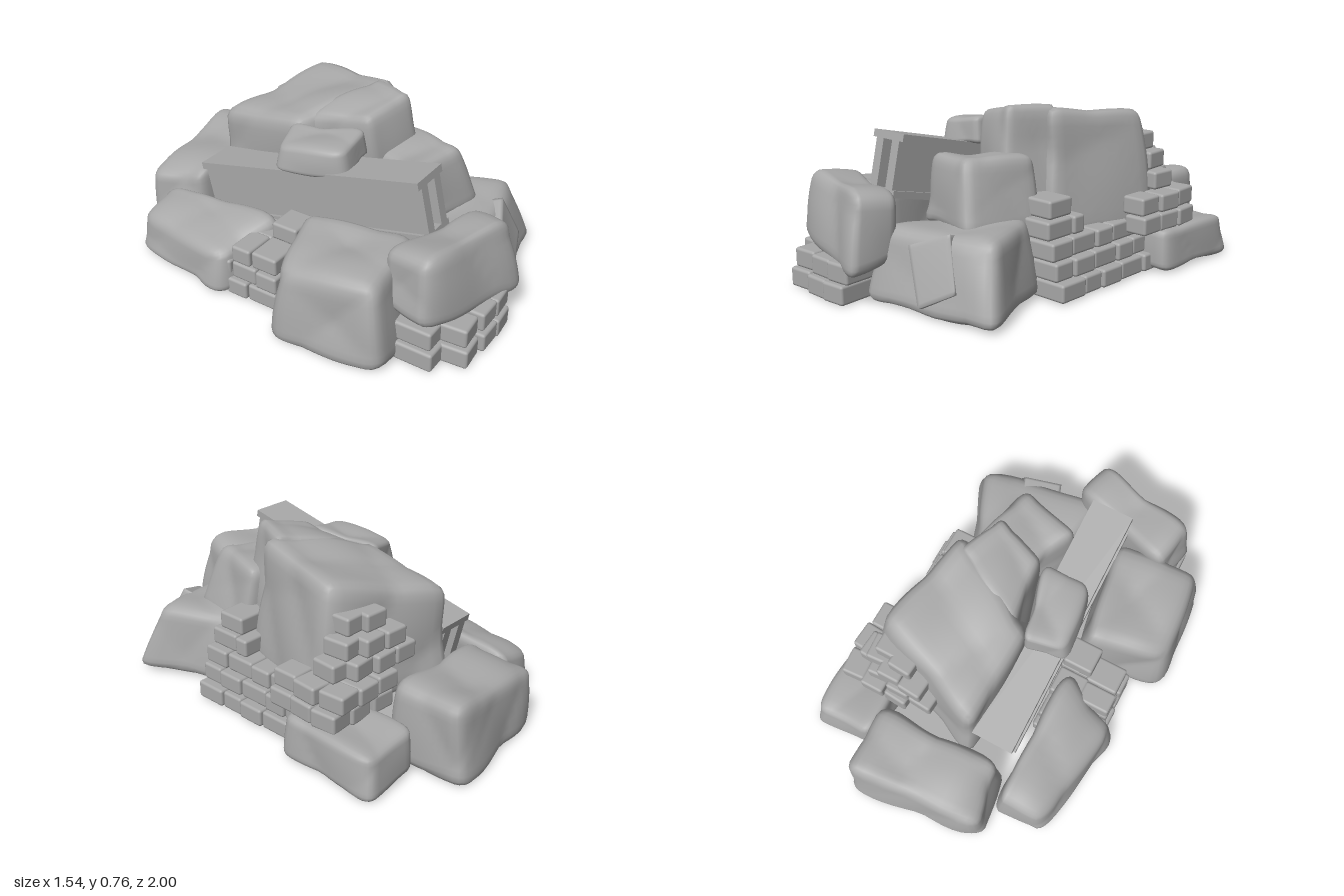
import * as THREE from 'three';
import { mergeVertices } from 'three/addons/utils/BufferGeometryUtils.js';
import { RoundedBoxGeometry } from 'three/addons/geometries/RoundedBoxGeometry.js';

const stone = new THREE.MeshStandardMaterial({ color: 0xa8a8a8 });
stone.name = 'grey stone';
const YAW = 0.4; // the whole ruin is turned by this angle

// Rounded, slightly chiselled block stretched between eight corners.
// Corner order: back left, back right, front right, front left.
function boulder(name, bottom, top, round = 0.27, rough = 0.013) {
  const box = new THREE.BoxGeometry(2, 2, 2, 14, 14, 14);
  box.deleteAttribute('uv');
  box.deleteAttribute('normal');
  const geo = mergeVertices(box);
  const pos = geo.attributes.position;
  const corners = [...bottom, ...top].map((c) => new THREE.Vector3(...c));
  const centre = corners.reduce((s, c) => s.add(c), new THREE.Vector3()).divideScalar(8);
  if (rough) corners.forEach((c) => c.sub(centre).multiplyScalar(1.06).add(centre));
  const p = new THREE.Vector3(), core = new THREE.Vector3(), out = new THREE.Vector3();
  const limit = 1 - round;
  for (let i = 0; i < pos.count; i++) {
    p.fromBufferAttribute(pos, i);
    core.copy(p).clampScalar(-limit, limit);
    p.sub(core).normalize().multiplyScalar(round).add(core);
    const u = (p.x + 1) / 2, v = (p.y + 1) / 2, w = (p.z + 1) / 2;
    const weights = [(1 - u) * (1 - w), u * (1 - w), u * w, (1 - u) * w];
    out.set(0, 0, 0);
    weights.forEach((k, j) => {
      out.addScaledVector(corners[j], k * (1 - v));
      out.addScaledVector(corners[j + 4], k * v);
    });
    // broad dents and ridges
    const n = Math.abs(Math.sin(out.x * 9 + out.y * 6)) + Math.abs(Math.sin(out.z * 10 - out.y * 7 + 1))
      + Math.sin(out.x * 13 - out.z * 11) * 0.6 - 1.2;
    out.addScaledVector(p.normalize(), n * rough);
    pos.setXYZ(i, out.x, Math.max(out.y, 0.012), out.z);
  }
  geo.computeVertexNormals();
  const mesh = new THREE.Mesh(geo, stone);
  mesh.name = name;
  return mesh;
}

function brick(parent, x, y, z, w, h, d, turn = 0) {
  const mesh = new THREE.Mesh(new RoundedBoxGeometry(w, h, d, 2, 0.012), stone);
  mesh.name = 'brick';
  mesh.position.set(x, y, z);
  mesh.rotation.y = turn;
  parent.add(mesh);
}

// Courses of bricks running along local z; each row is [start, end]
function wall(name, x, z, rows, depth, lean) {
  const g = new THREE.Group();
  g.name = name;
  g.position.set(x, 0, z);
  g.rotation.y = YAW;
  rows.forEach(([start, end], row) => {
    let at = start, k = row;
    while (at - end > 0.03) {
      let len = [0.15, 0.11, 0.13][k++ % 3];
      if (at - len - end < 0.05) len = at - end;
      brick(g, -depth / 2 - lean * row + (k % 2) * 0.008, 0.055 + row * 0.079, at - len / 2,
        depth, 0.078, len - 0.004);
      at -= len;
    }
  });
  return g;
}

export function createModel() {
  const model = new THREE.Group();
  model.name = 'rubblePile';

  // Ground boulders
  model.add(
    boulder('backLeftBoulder',
      [[-0.62, 0.01, -0.69], [-0.08, 0.01, -1.02], [0.06, 0.01, -0.68], [-0.46, 0.01, -0.43]],
      [[-0.59, 0.25, -0.69], [-0.09, 0.34, -0.96], [0.03, 0.34, -0.7], [-0.45, 0.31, -0.46]]),
    boulder('backRightBoulder',
      [[0.03, 0.02, -0.81], [0.28, 0.02, -0.94], [0.45, 0.02, -0.51], [0.2, 0.02, -0.4]],
      [[0.04, 0.2, -0.8], [0.27, 0.19, -0.91], [0.43, 0.2, -0.52], [0.2, 0.21, -0.42]]),
    boulder('leftBoulder',
      [[-0.78, 0.02, -0.44], [-0.56, 0.02, -0.56], [-0.31, 0.02, 0.06], [-0.67, 0.02, 0.06]],
      [[-0.74, 0.18, -0.42], [-0.56, 0.26, -0.53], [-0.34, 0.3, 0.04], [-0.64, 0.21, 0.04]], 0.33),
    boulder('frontRightBoulder',
      [[0.08, 0.02, 0.28], [0.43, 0.02, 0.08], [0.8, 0.02, 0.44], [0.23, 0.02, 0.76]],
      [[0.12, 0.3, 0.28], [0.42, 0.33, 0.13], [0.67, 0.33, 0.39], [0.22, 0.3, 0.69]]),
    boulder('frontLeftBoulder',
      [[-0.59, 0.01, 0.43], [-0.27, 0.01, 0.17], [0.02, 0.01, 0.62], [-0.38, 0.01, 0.86]],
      [[-0.55, 0.32, 0.43], [-0.28, 0.39, 0.21], [-0.04, 0.4, 0.6], [-0.36, 0.37, 0.78]]),
  );

  // Stacked boulders
  model.add(
    boulder('tallBoulder',
      [[-0.3, 0.16, -0.5], [0.29, 0.2, -0.54], [0.37, 0.2, 0], [-0.11, 0.16, 0.08]],
      [[-0.29, 0.57, -0.46], [0.23, 0.695, -0.48], [0.31, 0.745, -0.02], [-0.16, 0.66, -0.07]], 0.2),
    boulder('peakBoulder',
      [[-0.13, 0.3, -0.1], [0.33, 0.3, -0.08], [0.32, 0.34, 0.19], [0.06, 0.34, 0.23]],
      [[-0.1, 0.66, -0.08], [0.27, 0.755, -0.06], [0.26, 0.76, 0.15], [0.04, 0.71, 0.17]], 0.22),
    boulder('shoulderBoulder',
      [[0.08, 0.27, 0.12], [0.4, 0.27, 0.06], [0.48, 0.3, 0.42], [0.07, 0.27, 0.46]],
      [[0.1, 0.52, 0.13], [0.34, 0.57, 0.07], [0.36, 0.58, 0.38], [0.1, 0.56, 0.41]]),
    boulder('frontTopBoulder',
      [[-0.24, 0.22, 0.68], [0.27, 0.17, 0.64], [0.34, 0.14, 0.85], [-0.2, 0.2, 0.92]],
      [[-0.2, 0.44, 0.67], [0.26, 0.43, 0.64], [0.27, 0.465, 0.8], [-0.17, 0.475, 0.87]], 0.33),
    boulder('smallTopBoulder',
      [[-0.33, 0.52, 0.03], [-0.17, 0.54, -0.09], [0.04, 0.56, 0.19], [-0.16, 0.55, 0.29]],
      [[-0.3, 0.62, 0.03], [-0.17, 0.66, -0.08], [0.01, 0.69, 0.18], [-0.16, 0.65, 0.26]], 0.33),
  );

  // Flat slab leaning on the front right boulder
  const face = [[0.52, 0.055, 0.635], [0.635, 0.135, 0.525], [0.53, 0.34, 0.505], [0.415, 0.28, 0.635]];
  const [a, b, c, d] = face;
  const inner = face.map(([x, y, z]) => [x - 0.09, y - 0.045, z - 0.1]);
  model.add(boulder('leaningSlab', [inner[0], inner[1], b, a], [inner[3], inner[2], c, d], 0.03, 0));

  // Broken girder resting on the pile
  const beam = new THREE.Group();
  beam.name = 'girder';
  beam.position.set(-0.175, 0.528, 0.08);
  beam.rotation.set(-0.226, YAW, 0, 'YXZ');
  const length = 1.136;
  const bar = (name, x, y, w, h) => {
    const mesh = new THREE.Mesh(new THREE.BoxGeometry(w, h, length), stone);
    mesh.name = name;
    mesh.position.set(x, y, 0);
    beam.add(mesh);
  };
  bar('topFlange', 0, -0.016, 0.19, 0.032);
  bar('bottomFlange', 0, -0.25, 0.17, 0.03);
  for (const side of [-1, 1]) bar('web', side * 0.05, -0.13, 0.045, 0.22);
  model.add(beam);

  // Brick walls
  model.add(
    wall('rightWall', 0.6, 0.06, [[0.01, -0.66], [0.01, -0.62], [0.01, -0.55], [0, -0.22], [-0.03, -0.17]], 0.19, 0.027),
    wall('leftWallOuter', -0.37, 0.24, [[0, -0.36], [0, -0.32], [-0.01, -0.24]], 0.15, -0.01),
    wall('leftWallInner', -0.23, 0.18, [[0, -0.4], [0, -0.36], [0, -0.26], [0, -0.13]], 0.14, 0),
  );

  // Loose bricks at the front
  const front = new THREE.Group();
  front.name = 'frontBricks';
  [[-0.17, 0.84], [-0.05, 0.9], [0.08, 0.86], [0.18, 0.82]].forEach(([x, z], i) => {
    for (let row = 0; row < 2; row++)
      brick(front, x + row * 0.008, 0.052 + row * 0.085, z - row * 0.02, 0.12, 0.083, 0.17, YAW + (i % 2) * 0.08);
  });
  model.add(front);

  // Stepped bricks behind the tall boulder: [x, z] for each course
  const steps = new THREE.Group();
  steps.name = 'backBricks';
  [
    [[0.08, -0.58], [0.2, -0.62], [0.3, -0.65], [0.34, -0.54], [0.38, -0.43]],
    [[0.06, -0.58], [0.17, -0.63], [0.27, -0.66], [0.33, -0.55], [0.36, -0.43]],
    [[-0.05, -0.52], [0.06, -0.56], [0.17, -0.58], [0.25, -0.56]],
    [[0, -0.53], [0.11, -0.56], [0.2, -0.55]],
    [[0.08, -0.51], [0.17, -0.51]],
  ].forEach((course, row) => course.forEach(([x, z], i) =>
    brick(steps, x, 0.235 + row * 0.081, z, 0.11, 0.079, 0.12, YAW + (i % 3 - 1) * 0.07)));
  model.add(steps);

  return model;
}
